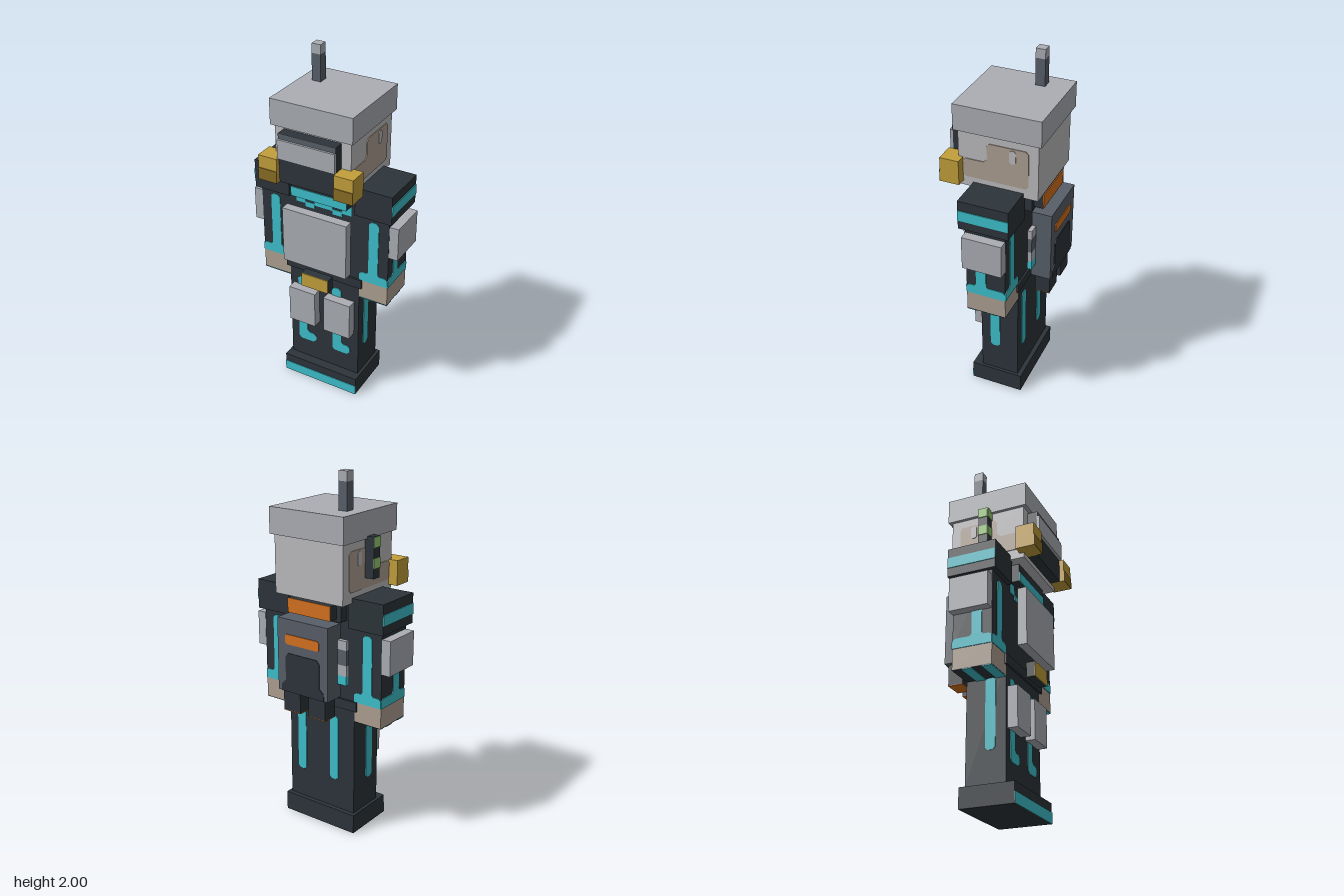
import * as THREE from 'three';

const mat = (name, color, extra) => {
  const m = new THREE.MeshStandardMaterial({ color });
  m.name = name;
  return m;
};

export function createModel() {
  const model = new THREE.Group();
  model.name = 'armouredFigure';

  const suit = mat('dark suit', 0x2c343a);
  const cyan = mat('cyan trim', 0x3dc0cc);
  const plate = mat('grey plate', 0xabaeb4);
  const hood = mat('pale hood', 0xbcbcbf);
  const skin = mat('skin', 0xaea092);
  const gold = mat('gold', 0xc39f3b);
  const bronze = mat('dark gold', 0x8a6d24);
  const slate = mat('slate', 0x585f69);
  const orange = mat('orange', 0xd4711f);
  const green = mat('green light', 0x98cb76);

  // Box given by its limits on each axis
  const box = (name, m, x0, x1, y0, y1, z0, z1) => {
    const mesh = new THREE.Mesh(new THREE.BoxGeometry(x1 - x0, y1 - y0, z1 - z0), m);
    mesh.position.set((x0 + x1) / 2, (y0 + y1) / 2, (z0 + z1) / 2);
    mesh.name = name;
    model.add(mesh);
    return mesh;
  };

  // Thin painted plate on a face: u is x on front and back, z on the sides
  const T = 0.004;
  const decal = (name, m, face, at, pts) => {
    const sign = { front: 1, back: -1, left: -1, right: 1 }[face];
    const shape = new THREE.Shape(pts.map(([u, v]) => new THREE.Vector2(u * sign, v)));
    const mesh = new THREE.Mesh(new THREE.ExtrudeGeometry(shape, { depth: T, bevelEnabled: false }), m);
    mesh.rotation.y = { front: 0, back: Math.PI, left: Math.PI / 2, right: -Math.PI / 2 }[face];
    if (face === 'front' || face === 'back') mesh.position.z = at;
    else mesh.position.x = at;
    mesh.name = name;
    model.add(mesh);
  };
  const rect = (a, b, c, d) => [[a, c], [b, c], [b, d], [a, d]];
  // Rectangle with clipped corners
  const pill = (a, b, c, d, r = 0.015) => [
    [a + r, c], [b - r, c], [b, c + r], [b, d - r], [b - r, d], [a + r, d], [a, d - r], [a, c + r]];
  // Stripe that flares into a cuff at its foot
  const flare = (a, b, s, t, y0, y1, y2) => [
    [a, y0], [b, y0], [b, y1 - 0.012], [b - 0.015, y1], [t + 0.01, y1], [t, y1 + 0.012], [t, y2 - 0.015],
    [t - 0.015, y2], [s + 0.015, y2], [s, y2 - 0.015], [s, y1 + 0.012], [s - 0.01, y1], [a + 0.015, y1], [a, y1 - 0.012]];

  // Boots, legs and torso
  box('boots', suit, -0.237, 0.237, 0, 0.11, -0.15, 0.152);
  decal('bootTrim', cyan, 'front', 0.152, rect(-0.237, 0.237, 0, 0.06));
  box('legs', suit, -0.22, 0.22, 0.11, 0.73, -0.124, 0.098);
  box('torso', suit, -0.22, 0.22, 0.73, 1.335, -0.124, 0.098);
  for (const x of [-0.17, 0.053]) {
    const e = x + 0.115, w = x + 0.057;
    decal('legStripe', cyan, 'front', 0.098, [
      [x + 0.015, 0.23], [e - 0.02, 0.23], [e, 0.25], [e, 0.275], [e - 0.015, 0.29], [w + 0.015, 0.29], [w, 0.305],
      [w, 0.66], [w - 0.015, 0.675], [x + 0.015, 0.675], [x, 0.66], [x, 0.245]]);
    box('thighPlate', plate, x - 0.028, x + 0.138, 0.395, 0.62, 0.098, 0.153);
  }
  for (const x of [0.108, -0.115])
    decal('legBackStripe', cyan, 'back', -0.124, pill(x, x + 0.057, 0.285, 0.67));

  // Belt with buckle
  box('belt', suit, -0.237, 0.237, 0.73, 0.785, -0.135, 0.11);
  box('buckle', suit, -0.083, 0.083, 0.702, 0.785, 0.153, 0.2);
  decal('buckleFace', gold, 'front', 0.2, rect(-0.083, 0.083, 0.702, 0.785));

  // Chest plate and collar
  box('chestPlate', plate, -0.194, 0.194, 0.84, 1.17, 0.153, 0.205);
  box('collar', suit, -0.168, 0.168, 1.23, 1.333, -0.178, 0.153);
  decal('collarTrim', cyan, 'front', 0.153, rect(-0.168, 0.168, 1.23, 1.285));
  for (const [a, b] of [[-0.168, -0.112], [-0.056, 0.056], [0.112, 0.168]])
    decal('collarTooth', cyan, 'front', 0.098, rect(a, b, 1.17, 1.23));
  for (const a of [-0.112, 0.056])
    decal('chestStripe', cyan, 'front', 0.098, rect(a, a + 0.056, 1.15, 1.18));

  // Arms, shoulders and side trim, mirrored
  for (const s of [-1, 1]) {
    const side = s > 0 ? 'left' : 'right';
    const mbox = (name, m, a, b, ...r) => box(name, m, Math.min(a * s, b * s), Math.max(a * s, b * s), ...r);
    const mir = pts => s > 0 ? pts : pts.map(([u, v]) => [-u, v]).reverse();
    mbox('arm', suit, 0.22, 0.39, 0.785, 1.3, -0.124, 0.098);
    mbox('hand', skin, 0.22, 0.39, 0.672, 0.785, -0.124, 0.098);
    mbox('palm', suit, 0.22, 0.39, 0.668, 0.672, -0.124, 0.098);
    mbox('palmStripe', cyan, 0.22, 0.39, 0.664, 0.668, -0.07, -0.013);
    mbox('palmStripe', cyan, 0.22, 0.39, 0.664, 0.668, 0.042, 0.098);
    const sleeve = mir(flare(0.22, 0.39, 0.274, 0.331, 0.785, 0.84, 1.17));
    decal('sleeveStripe', cyan, 'front', 0.098, sleeve);
    decal('sleeveStripe', cyan, 'back', -0.124, sleeve);
    decal('sleeveSideStripe', cyan, side, 0.39 * s, flare(-0.124, 0.098, -0.015, 0.042, 0.785, 0.84, 1.17));
    mbox('armPlate', plate, 0.39, 0.442, 0.978, 1.17, -0.126, 0.096);
    mbox('shoulder', suit, 0.2, 0.413, 1.2, 1.365, -0.153, 0.125);
    decal('shoulderStripe', cyan, side, 0.413 * s, rect(-0.153, 0.125, 1.25, 1.31));
    decal('legSideStripe', cyan, side, 0.22 * s, pill(-0.015, 0.042, 0.285, 0.67));

    // Skin showing on the side of the head, with a pale ear spot
    decal('cheek', skin, side, 0.22 * s, [
      [-0.165, 1.395], [0.165, 1.395], [0.18, 1.41], [0.18, 1.485], [0.165, 1.5], [0.065, 1.5], [0.045, 1.52],
      [0.045, 1.595], [0.03, 1.61], [-0.165, 1.61], [-0.18, 1.595], [-0.18, 1.41]]);
    decal('earSpot', hood, side, 0.223 * s, pill(-0.113, -0.078, 1.525, 1.6, 0.01));

    // Breathing filters
    mbox('filter', gold, 0.166, 0.276, 1.365, 1.503, 0.18, 0.286);
    decal('filterShade', bronze, 'front', 0.286, mir(rect(0.166, 0.276, 1.365, 1.432)));

    // Banded flask beside the pack
    [[0.9, 0.95, cyan], [0.95, 1.01, plate], [1.01, 1.095, slate], [1.095, 1.145, plate]].forEach(([a, b, m]) =>
      mbox('flaskBand', m, 0.166, 0.222, a, b, -0.202, -0.178));

    // Thrusters under the pack
    mbox('thruster', suit, 0.028, 0.14, 0.704, 0.82, -0.276, -0.192);
    mbox('thrusterGlow', orange, 0.028, 0.14, 0.7, 0.704, -0.276, -0.192);
  }

  // Head, cap and antenna
  box('head', hood, -0.22, 0.22, 1.338, 1.66, -0.232, 0.205);
  box('cap', plate, -0.237, 0.237, 1.657, 1.8, -0.252, 0.224);
  box('antenna', slate, -0.167, -0.115, 1.8, 1.948, -0.126, -0.073);
  box('antennaTip', plate, -0.167, -0.115, 1.948, 2, -0.126, -0.073);

  // Mask and visor
  box('mask', suit, -0.166, 0.166, 1.365, 1.642, 0.205, 0.26);
  decal('visorRim', slate, 'front', 0.26, rect(-0.166, 0.166, 1.61, 1.642));
  box('visor', plate, -0.166, 0.166, 1.503, 1.612, 0.26, 0.276);

  // Earpiece with green lights
  box('earpiece', suit, -0.276, -0.22, 1.45, 1.67, -0.044, 0.012);
  for (const y of [1.503, 1.613]) {
    decal('earpieceLight', green, 'front', 0.012, rect(-0.276, -0.22, y, y + 0.055));
    decal('earpieceLight', green, 'right', -0.276, rect(-0.044, 0.012, y, y + 0.055));
  }

  // Back pack
  box('packHandle', suit, -0.14, 0.14, 1.245, 1.325, -0.228, -0.178);
  decal('packHandleFace', orange, 'back', -0.228, rect(-0.14, 0.14, 1.245, 1.325));
  box('pack', slate, -0.166, 0.166, 0.82, 1.228, -0.288, -0.178);
  decal('packStripe', orange, 'back', -0.288, pill(-0.112, 0.112, 1.09, 1.145, 0.01));
  decal('packPanel', suit, 'back', -0.288, [
    [-0.14, 0.82], [0.14, 0.82], [0.14, 0.86], [0.112, 0.885], [0.112, 1.02], [0.095, 1.04],
    [-0.095, 1.04], [-0.112, 1.02], [-0.112, 0.885], [-0.14, 0.86]]);

  return model;
}
